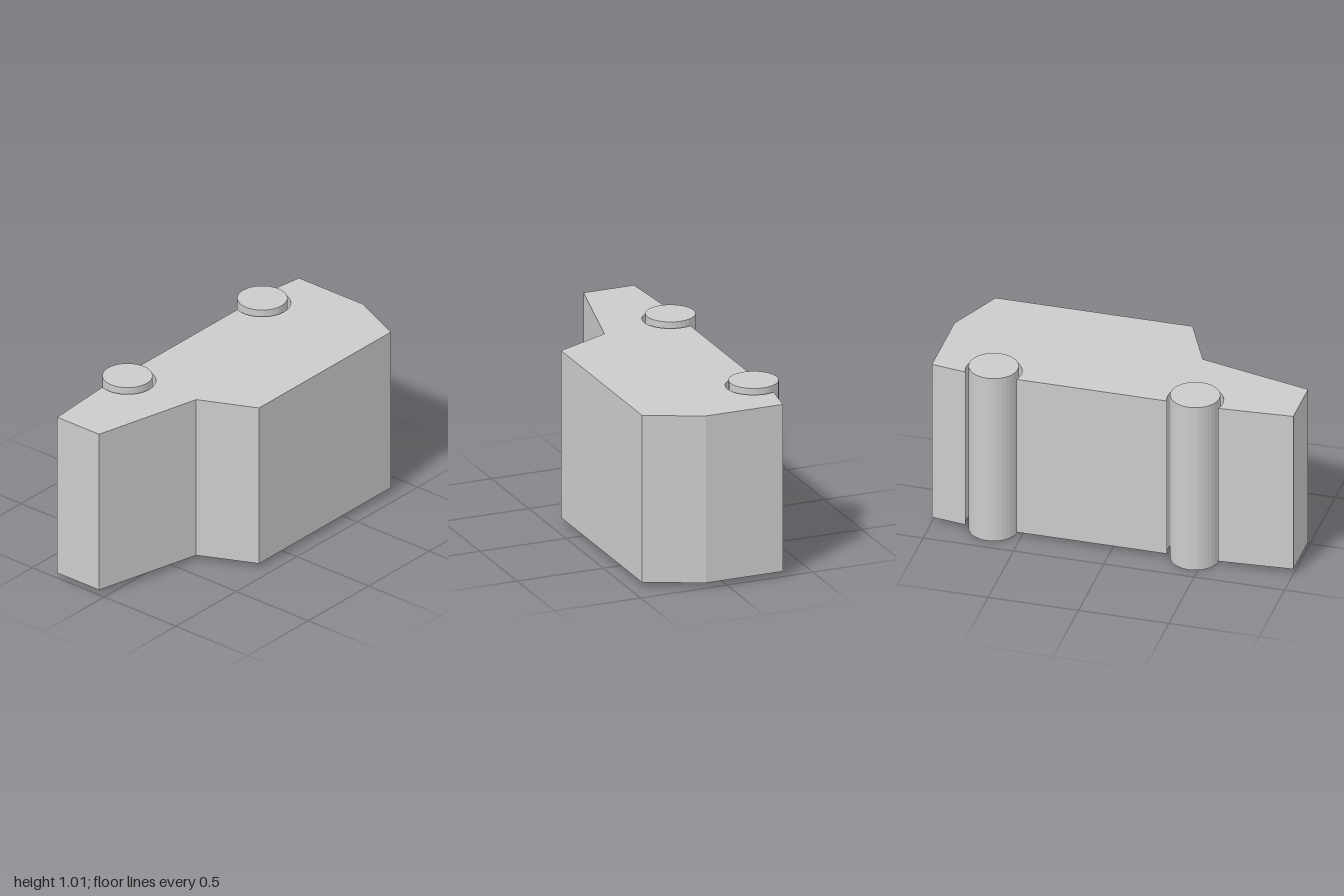
import * as THREE from 'three';

const WHEEL_X = [-0.45, 0.665]; // wheel centres along the body
const WHEEL_Z = -0.301;
const WHEEL_R = 0.134;
const ARCH_R = 0.152;
const EDGE_Z = -0.355; // underside line that the arches cut into

export function createModel() {
  const group = new THREE.Group();
  const material = new THREE.MeshStandardMaterial({ color: 0xcccccc, flatShading: true });

  // Side silhouette of the car, drawn in (x, -z)
  const profile = new THREE.Shape();
  profile.moveTo(-1, 0.035);
  profile.lineTo(-0.375, -0.115);
  profile.lineTo(-0.23, -0.43);
  profile.lineTo(0.86, -0.43);
  profile.lineTo(1, -0.12);
  profile.lineTo(1, 0.327);

  // Round wheel arches open to the underside
  const rise = Math.asin((WHEEL_Z - EDGE_Z) / ARCH_R);
  for (const x of [...WHEEL_X].reverse()) {
    profile.absarc(x, -WHEEL_Z, ARCH_R, rise, Math.PI - rise, true);
  }
  profile.lineTo(-1, 0.327);
  profile.closePath();

  // Body lying on its side
  const bodyGeometry = new THREE.ExtrudeGeometry(profile, {
    depth: 0.948, bevelEnabled: false, curveSegments: 24,
  });
  bodyGeometry.rotateX(-Math.PI / 2);
  const body = new THREE.Mesh(bodyGeometry, material);
  body.name = 'carBody';
  body.position.y = 0.03;
  group.add(body);

  // Full-width wheel rollers, standing slightly proud of both sides
  const wheelGeometry = new THREE.CylinderGeometry(WHEEL_R, WHEEL_R, 1.008, 32);
  WHEEL_X.forEach((x, i) => {
    const wheel = new THREE.Mesh(wheelGeometry, material);
    wheel.name = i === 0 ? 'hoodEndWheel' : 'cabinEndWheel';
    wheel.position.set(x, 0.504, WHEEL_Z);
    group.add(wheel);
  });

  return group;
}
